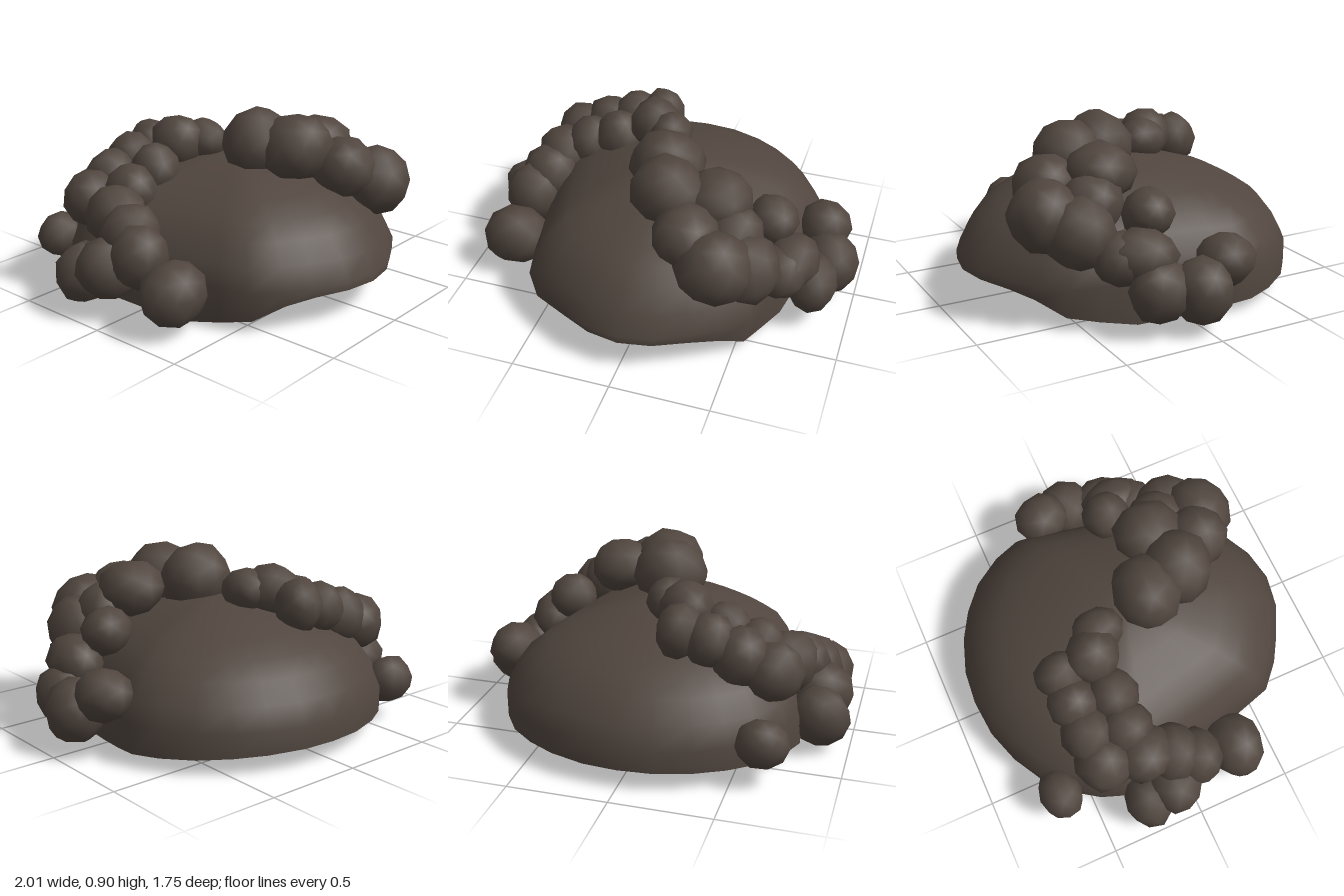
import * as THREE from 'three';
import { mergeVertices } from 'three/addons/utils/BufferGeometryUtils.js';

// linear interpolation through a list of [key, value] pairs
function lerpTable(table, k) {
  for (let i = 1; i < table.length; i++) {
    const [k0, v0] = table[i - 1], [k1, v1] = table[i];
    if (k <= k1) return v0 + (v1 - v0) * Math.max(0, (k - k0) / (k1 - k0));
  }
  return table[table.length - 1][1];
}

// half plan outline of the cap, front to back: x, z
const outline = [
  [0, 0.87], [0.17, 0.84], [0.33, 0.76], [0.46, 0.68], [0.58, 0.57], [0.62, 0.42], [0.66, 0.25], [0.71, 0],
  [0.75, -0.18], [0.77, -0.32], [0.72, -0.46], [0.62, -0.61], [0.49, -0.72], [0.35, -0.8], [0.17, -0.86], [0, -0.875],
];
// rim height and rim narrowing by z
const rimHeight = [[-0.875, 0.1], [-0.3, 0.06], [0, 0.02], [0.28, 0], [0.56, 0.055], [0.67, 0.13], [0.78, 0.165], [0.87, 0.17]];
const rimWidth = [[0.25, 1], [0.5, 0.95], [0.87, 0.95]];
// dome profile: share of the outline, height
const profile = [[0.15, 0.643], [0.35, 0.61], [0.6, 0.54], [0.74, 0.475], [0.85, 0.41], [0.94, 0.31], [1, 0.21]];

// open cap built from rings between apex and rim
function capGeometry() {
  const loop = [...outline, ...outline.slice(1, -1).reverse().map(([x, z]) => [-x, z])];
  const n = loop.length, pos = [0, 0.65, 0], idx = [];
  for (const [s, y] of profile) for (const [x, z] of loop) pos.push(x * s, y, z * s);
  for (const [x, z] of loop) pos.push(x * lerpTable(rimWidth, z), lerpTable(rimHeight, z), z);
  for (let i = 0; i < n; i++) {
    const j = (i + 1) % n;
    idx.push(0, 1 + i, 1 + j);
    for (let r = 0; r < profile.length; r++) {
      const a = 1 + r * n + i, b = 1 + r * n + j;
      idx.push(a, a + n, b, b, a + n, b + n);
    }
  }
  const g = new THREE.BufferGeometry();
  g.setAttribute('position', new THREE.Float32BufferAttribute(pos, 3));
  g.setIndex(idx);
  g.computeVertexNormals();
  return g;
}

// slightly lumpy low-poly ball with smooth normals
function curlGeometry(seed, rx, ry, rz) {
  let g = new THREE.IcosahedronGeometry(1, 1);
  g.deleteAttribute('uv');
  g.deleteAttribute('normal');
  g = mergeVertices(g);
  const p = g.attributes.position, v = new THREE.Vector3();
  for (let i = 0; i < p.count; i++) {
    v.fromBufferAttribute(p, i);
    v.multiplyScalar(1.04 + 0.06 * Math.sin(i * 12.99 + seed * 7.23));
    p.setXYZ(i, v.x, v.y, v.z);
  }
  g.rotateX(seed * 1.3);
  g.rotateY(seed * 2.1);
  g.scale(rx, ry, rz);
  g.computeVertexNormals();
  return g;
}

// curls as x, y, z, then radii along x, y, z
const leftCurls = [
  [0.02, 0.715, 0.12, 0.19, 0.175, 0.17], [0.08, 0.715, 0.33, 0.185, 0.165, 0.18], [0.33, 0.68, 0.28, 0.17, 0.14, 0.17],
  [0.23, 0.62, 0.51, 0.16, 0.15, 0.165], [0.395, 0.53, 0.6, 0.18, 0.175, 0.175], [0.53, 0.46, 0.48, 0.155, 0.165, 0.175],
  [0.43, 0.56, 0.38, 0.15, 0.15, 0.15], [0.58, 0.52, 0.15, 0.125, 0.12, 0.125], [0.7, 0.36, 0.25, 0.13, 0.135, 0.17],
  [0.66, 0.35, 0.34, 0.13, 0.13, 0.14], [0.81, 0.215, 0.21, 0.125, 0.145, 0.15], [0.85, 0.2, 0.02, 0.145, 0.16, 0.15],
  [0.8, 0.31, -0.14, 0.135, 0.12, 0.145],
];
const rightCurls = [
  [-0.06, 0.69, -0.18, 0.11, 0.11, 0.13], [-0.17, 0.69, -0.25, 0.135, 0.135, 0.14], [-0.18, 0.64, -0.43, 0.115, 0.14, 0.125],
  [-0.33, 0.61, -0.43, 0.125, 0.135, 0.13], [-0.36, 0.59, -0.23, 0.125, 0.14, 0.13], [-0.48, 0.54, -0.42, 0.14, 0.14, 0.135],
  [-0.53, 0.52, -0.23, 0.13, 0.145, 0.13], [-0.63, 0.47, -0.4, 0.145, 0.145, 0.145], [-0.67, 0.44, -0.2, 0.15, 0.15, 0.155],
  [-0.71, 0.39, -0.05, 0.145, 0.15, 0.14], [-0.76, 0.31, 0.05, 0.145, 0.16, 0.135], [-0.85, 0.18, -0.24, 0.14, 0.15, 0.13],
  [-0.82, 0.24, -0.09, 0.175, 0.15, 0.14], [-0.775, 0.19, 0.285, 0.17, 0.155, 0.145],
];
const looseCurls = [[-0.64, 0.215, -0.655, 0.13, 0.115, 0.11]];

export function createModel() {
  const model = new THREE.Group();
  model.name = 'curlyHair';
  const hair = new THREE.MeshStandardMaterial({ color: 0x51463f, side: THREE.DoubleSide });
  hair.name = 'dark brown hair';

  const cap = new THREE.Mesh(capGeometry(), hair);
  cap.name = 'hairCap';
  model.add(cap);

  for (const [name, curls] of [['leftCurls', leftCurls], ['rightCurls', rightCurls], ['looseCurl', looseCurls]]) {
    const group = new THREE.Group();
    group.name = name;
    curls.forEach(([x, y, z, ...radii], i) => {
      const curl = new THREE.Mesh(curlGeometry(i, ...radii), hair);
      curl.name = 'curl';
      curl.position.set(x, y, z);
      group.add(curl);
    });
    model.add(group);
  }
  return model;
}
